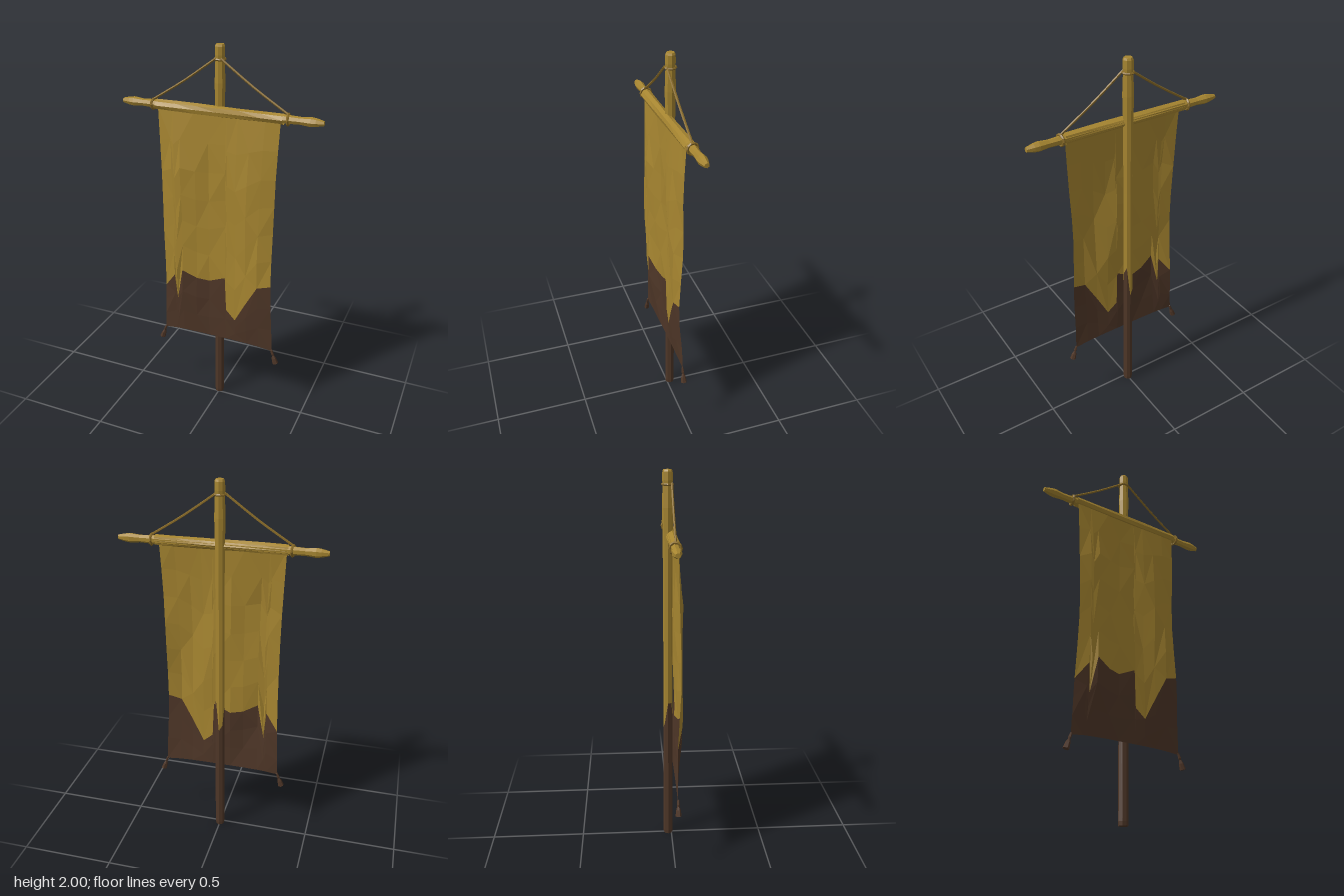
import * as THREE from 'three';

const mat = (color, side = THREE.FrontSide) =>
  new THREE.MeshStandardMaterial({ color, flatShading: true, side });
const GOLD = 0xa68530, BROWN = 0x4e3627, ROPE = 0x8a6c28;

export function createModel() {
  const model = new THREE.Group();
  const add = (name, geometry, material) => {
    const mesh = new THREE.Mesh(geometry, material);
    mesh.name = name;
    model.add(mesh);
    return mesh;
  };
  const gold = mat(GOLD), brown = mat(BROWN), rope = mat(ROPE);

  // Lathe from [radius, height] pairs
  const turned = (points, sides) =>
    new THREE.LatheGeometry(points.map(([r, y]) => new THREE.Vector2(r, y)), sides);

  // Pole in two colours that meet on a jagged seam
  const seam = a => 0.74 + 0.1 * Math.sin(a * 2 + 2.5) + 0.03 * Math.sin(a * 5);
  const jag = geometry => {
    const p = geometry.attributes.position;
    for (let i = 0; i < p.count; i++) {
      if (Math.abs(p.getY(i) - 0.74) < 0.001) p.setY(i, seam(Math.atan2(p.getZ(i), p.getX(i))));
    }
    geometry.computeVertexNormals();
    return geometry;
  };
  add('poleLower', jag(turned([[0, 0], [0.024, 0], [0.026, 0.02], [0.025, 0.74]], 8)), brown)
    .position.z = -0.018;
  add('poleUpper', jag(turned([[0.025, 0.74], [0.023, 1.3], [0.025, 1.7], [0.028, 1.82],
    [0.024, 1.93], [0.026, 1.95], [0.025, 1.99], [0.02, 2], [0, 2]], 8)), gold)
    .position.z = -0.018;

  // Crossbar with blunt carved ends
  const half = [[0.012, 0.522], [0.021, 0.485], [0.024, 0.46], [0.019, 0.41], [0.022, 0.34]];
  const bar = add('crossbar', turned([[0, -0.522], ...half.map(([r, y]) => [r, -y]),
    ...half.slice().reverse(), [0, 0.522]], 7), gold);
  bar.rotation.z = -Math.PI / 2;
  bar.position.set(0, 1.683, -0.004);

  // Cloth sleeve wound round the crossbar, with slanting folds
  const sleeve = new THREE.CylinderGeometry(0.027, 0.027, 0.66, 8, 6, true);
  const sp = sleeve.attributes.position;
  for (let i = 0; i < sp.count; i++) {
    const t = sp.getY(i), a = Math.atan2(sp.getZ(i), sp.getX(i));
    const k = 1 + 0.07 * Math.sin(a * 3 + t * 9);
    sp.setXYZ(i, sp.getX(i) * k, t, sp.getZ(i) * k);
  }
  sleeve.rotateZ(-Math.PI / 2);
  add('clothSleeve', sleeve, mat(GOLD, THREE.DoubleSide)).position.set(0, 1.683, 0.001);

  // Columns of the cloth: x and height of the colour border
  const border = [[-0.315, 0.66], [-0.25, 0.75], [-0.235, 0.6], [-0.2, 0.79], [-0.12, 0.75],
    [-0.05, 0.74], [0.045, 0.78], [0.052, 0.58], [0.105, 0.53], [0.17, 0.65], [0.24, 0.77],
    [0.315, 0.79]];
  // Gently swelling cloth: narrow waist, two vertical folds, edges drawn back
  const clothPoint = (x, y) => {
    const t = (1.67 - y) / 1.28;
    const swell = Math.min(1, Math.sin(Math.PI * Math.min(1, Math.max(0, t))) * 1.5);
    const fold = 0.018 + 0.017 * Math.cos((Math.abs(x) - 0.2) * 17 + Math.sin(y * 5 + x * 4) * 0.5);
    const crease = 0.005 * Math.sin(x * 23 + y * 9);
    return [x * (1.015 - 0.055 * Math.sin(Math.PI * t)), y,
      0.014 + swell * (fold * 0.8 + crease)];
  };
  const cloth = (top, bottom, rows) => {
    const pos = [], index = [], n = border.length;
    for (let r = 0; r <= rows; r++) {
      border.forEach((b, c) => {
        const y = THREE.MathUtils.lerp(top(b), bottom(b), r / rows);
        pos.push(...clothPoint(b[0], y));
        if (r < rows && c < n - 1) {
          const i = r * n + c;
          if ((r + c) % 2) index.push(i, i + n, i + 1, i + 1, i + n, i + n + 1);
          else index.push(i, i + n, i + n + 1, i, i + n + 1, i + 1);
        }
      });
    }
    const g = new THREE.BufferGeometry();
    g.setAttribute('position', new THREE.Float32BufferAttribute(pos, 3));
    g.setIndex(index);
    g.computeVertexNormals();
    return g;
  };
  const hem = ([x]) => 0.392 - 0.012 * Math.pow(Math.abs(x) / 0.315, 4);
  add('clothUpper', cloth(() => 1.675, b => b[1], 6), mat(GOLD, THREE.DoubleSide));
  add('clothLower', cloth(b => b[1], hem, 3), mat(BROWN, THREE.DoubleSide));

  // Rope collar on the pole
  const collar = add('poleRopeRing', new THREE.TorusGeometry(0.026, 0.006, 5, 10), rope);
  collar.rotation.x = Math.PI / 2;
  collar.position.set(0, 1.93, -0.018);

  for (const s of [-1, 1]) {
    const side = s > 0 ? 'left' : 'right';
    // Hanging rope, slightly slack
    const path = new THREE.CatmullRomCurve3([
      new THREE.Vector3(s * 0.012, 1.936, 0.002),
      new THREE.Vector3(s * 0.18, 1.815, 0),
      new THREE.Vector3(s * 0.345, 1.71, -0.002)]);
    add(side + 'Rope', new THREE.TubeGeometry(path, 6, 0.006, 5), rope);

    // Rope ring round the crossbar
    const ring = add(side + 'RopeRing', new THREE.TorusGeometry(0.026, 0.007, 5, 10), rope);
    ring.rotation.set(0, Math.PI / 2 + s * 0.12, 0);
    ring.position.set(s * 0.35, 1.683, -0.003);

    // Corner tassel
    const tassel = add(side + 'Tassel', turned([[0, -0.075], [0.016, -0.072], [0.012, -0.04],
      [0.006, -0.022], [0.008, -0.012], [0.005, 0.012], [0, 0.014]], 6), brown);
    tassel.position.set(s * 0.322, 0.376, 0.016);
    tassel.rotation.z = s * 0.32;
  }
  return model;
}
